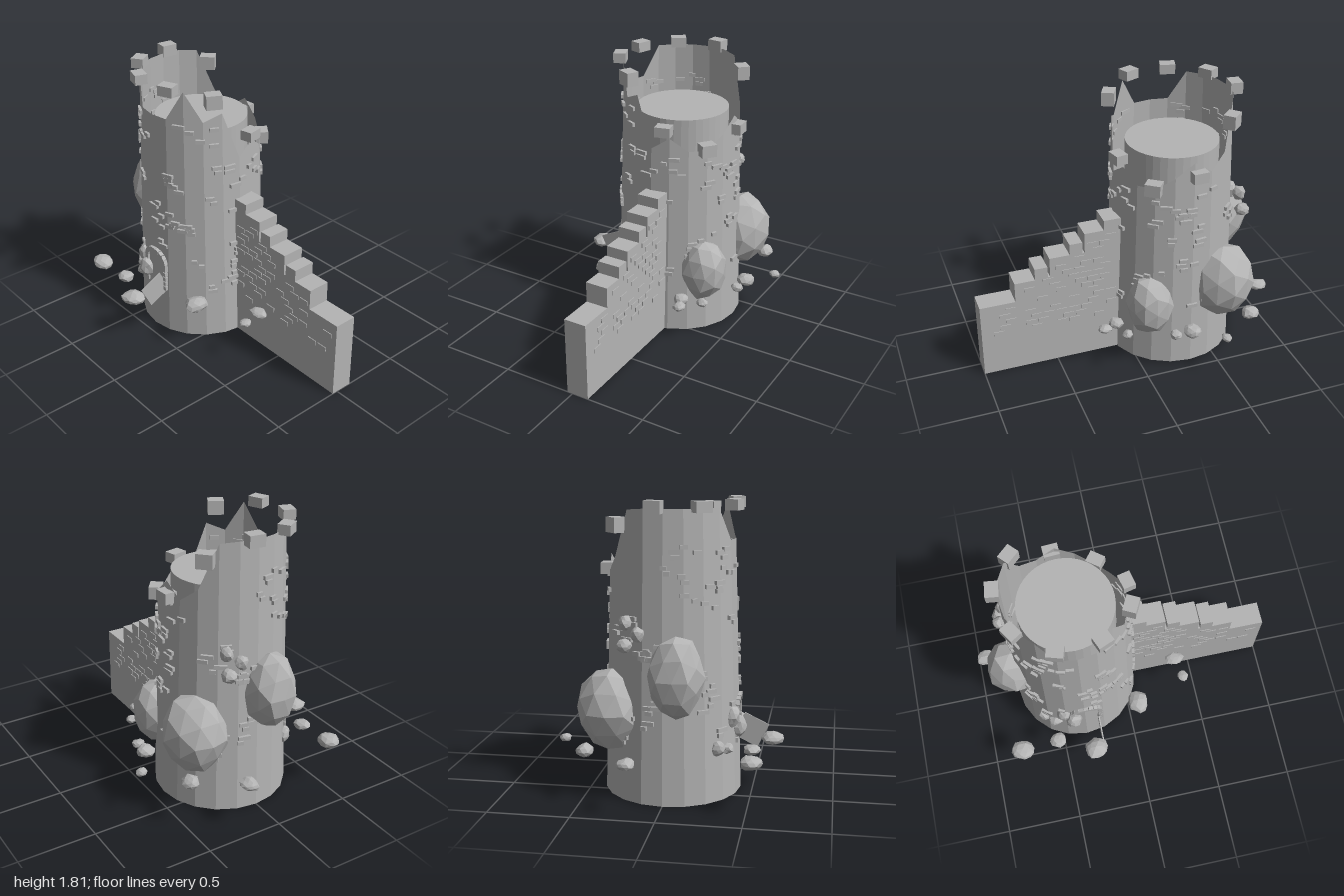
import * as THREE from 'three';

const CX = -0.33, SIDES = 20;
const stone = new THREE.MeshStandardMaterial({ color: 0xb4b4b4, flatShading: true, side: THREE.DoubleSide });
stone.name = 'grey stone';

// Rim height at each of the tower's corners, starting at +x and turning towards +z
const RIM = [1.285, 1.61, 1.56, 1.755, 1.56, 1.56, 1.56, 1.755, 1.755, 1.755,
  1.755, 1.755, 1.745, 1.46, 1.37, 1.455, 1.36, 1.28, 1.28, 1.365];
const radiusAt = y => 0.425 - 0.028 * y;
const rad = d => d * Math.PI / 180;

function seeded(seed) {
  return () => {
    seed = (seed * 1664525 + 1013904223) >>> 0;
    return seed / 4294967296;
  };
}

function add(parent, geometry, name, x = 0, y = 0, z = 0) {
  const mesh = new THREE.Mesh(geometry, stone);
  mesh.name = name;
  mesh.position.set(x, y, z);
  parent.add(mesh);
  return mesh;
}

// Box standing on the tower's round face, its depth pointing outwards
function addOnTower(parent, name, deg, y, r, w, h, d) {
  const a = rad(deg);
  const mesh = add(parent, new THREE.BoxGeometry(w, h, d), name, CX + r * Math.cos(a), y, r * Math.sin(a));
  mesh.rotation.y = Math.PI / 2 - a;
  return mesh;
}

// Faceted stone: a sphere of triangles with every corner pushed in or out
function rockGeometry(rx, ry, rz, seed, rough) {
  const g = new THREE.IcosahedronGeometry(1, 1);
  const p = g.attributes.position, random = seeded(seed), known = new Map();
  for (let i = 0; i < p.count; i++) {
    const key = [p.getX(i), p.getY(i), p.getZ(i)].map(v => Math.round(v * 100)).join();
    if (!known.has(key)) known.set(key, 1.02 - rough * random());
    const k = known.get(key);
    p.setXYZ(i, p.getX(i) * rx * k, p.getY(i) * ry * k, p.getZ(i) * rz * k);
  }
  g.computeVertexNormals();
  return g;
}

function createTower(root) {
  // Tapered shell with a broken rim, open at both ends
  const shell = new THREE.CylinderGeometry(1, 1, 1, SIDES, 1, true);
  const p = shell.attributes.position;
  for (let i = 0; i < p.count; i++) {
    const corner = i % (SIDES + 1);
    const a = corner / SIDES * Math.PI * 2;
    const y = p.getY(i) > 0 ? RIM[(SIDES - corner) % SIDES] : 0;
    p.setXYZ(i, radiusAt(y) * Math.cos(a), y, -radiusAt(y) * Math.sin(a));
  }
  shell.computeVertexNormals();
  add(root, shell, 'towerShell', CX, 0, 0);

  // Inner core carrying the upper floor
  add(root, new THREE.CylinderGeometry(0.3, 0.3, 0.96, 40), 'towerFloor', CX, 0.98, -0.01);

  // Loose battlement blocks: angle, height of the centre, block height
  const blocks = [[-13, 1.42, 0.065], [27, 1.71, 0.09], [67, 1.768, 0.065], [107, 1.768, 0.065],
    [147, 1.768, 0.065], [187, 1.768, 0.075], [227, 1.655, 0.09], [267, 1.37, 0.07], [307, 1.29, 0.08]];
  const battlements = new THREE.Group();
  battlements.name = 'battlements';
  for (const [deg, y, h] of blocks) addOnTower(battlements, 'battlementBlock', deg, y, 0.4, 0.1, h, 0.08);
  root.add(battlements);

  // Raised bricks in short clusters
  const bricks = new THREE.Group();
  bricks.name = 'towerBricks';
  const random = seeded(11);
  for (let c = 0; c < 95; c++) {
    const deg = c * 137.5 + random() * 15;
    const base = 0.32 + 1.2 * random();
    for (let k = 0; k < 2; k++) {
      const a = deg + (random() - 0.5) * 16, y = base + k * 0.032;
      const s = (((a % 360) + 360) % 360) / 18, i = Math.floor(s);
      const limit = Math.min(RIM[i % SIDES], RIM[(i + 1) % SIDES]) - 0.03;
      const nearDoor = Math.abs(((a % 360) + 360) % 360 - 90) < 18 && y < 0.63;
      if (y > limit || nearDoor) continue;
      addOnTower(bricks, 'towerBrick', a, y, radiusAt(y), 0.035 + 0.045 * random(), 0.025, 0.025);
    }
  }
  root.add(bricks);
}

function createDoor(root) {
  // Arch of small stones around the doorway
  const arch = new THREE.Group();
  arch.name = 'doorArch';
  const place = (dx, y, turn) => {
    const m = add(arch, new THREE.BoxGeometry(0.028, 0.03, 0.04), 'archStone', CX + 0.01 + dx, y, Math.sqrt(0.411 ** 2 - dx * dx) - 0.004);
    m.rotation.z = turn;
  };
  for (let i = 0; i <= 10; i++) {
    const a = Math.PI * i / 10;
    place(0.095 * Math.cos(a), 0.5 + 0.095 * Math.sin(a), a);
  }
  for (const side of [-1, 1]) for (let y = 0.33; y < 0.48; y += 0.036) place(side * 0.095, y, 0);
  root.add(arch);

  // Door swung open and hanging askew
  const door = add(root, new THREE.BoxGeometry(0.008, 0.165, 0.17), 'door', -0.24, 0.345, 0.48);
  door.rotation.x = rad(26);
}

function createWall(root) {
  // Broken, stepped wall: right end and top of each step
  const steps = [[0.165, 1], [0.295, 0.93], [0.31, 0.79], [0.395, 0.87], [0.53, 0.795],
    [0.545, 0.66], [0.63, 0.735], [0.765, 0.655], [1, 0.52]];
  const shape = new THREE.Shape();
  let x = 0.05;
  shape.moveTo(x, 0);
  for (const [end, top] of steps) {
    shape.lineTo(x, top);
    shape.lineTo(end, top);
    x = end;
  }
  shape.lineTo(1, 0);
  const wall = new THREE.ExtrudeGeometry(shape, { depth: 0.15, bevelEnabled: false });
  add(root, wall, 'ruinedWall', 0, 0, -0.112);

  // Shallow bricks on both faces
  const bricks = new THREE.Group();
  bricks.name = 'wallBricks';
  const random = seeded(5);
  for (const z of [-0.112, 0.038]) {
    for (let row = 0; row < 16; row++) {
      const y = 0.3 + row * 0.042;
      for (let bx = 0.12 + (row % 2) * 0.04; bx < 0.95; bx += 0.085) {
        const top = Math.min(...steps.filter(([end], i) => end > bx - 0.04 && (i === 0 || steps[i - 1][0] < bx + 0.04)).map(s => s[1]));
        if (y + 0.02 > top || random() < 0.45) continue;
        add(bricks, new THREE.BoxGeometry(0.07, 0.03, 0.01), 'wallBrick', bx, y, z);
      }
    }
  }
  root.add(bricks);
}

function createRocks(root) {
  // Each row: x, y, z, then the three radii
  const boulders = [[-0.735, 0.79, 0.08, 0.175, 0.255, 0.175], [-0.57, 0.54, -0.34, 0.215, 0.265, 0.215],
    [-0.075, 0.445, -0.32, 0.16, 0.22, 0.155]];
  const rubble = [
    [-0.93, 0.315, -0.18, 0.07, 0.036, 0.06], [-0.79, 0.315, 0.53, 0.088, 0.045, 0.072],
    [-0.54, 0.31, 0.51, 0.062, 0.035, 0.055], [-0.3, 0.315, 0.62, 0.087, 0.045, 0.08],
    [0.05, 0.325, 0.36, 0.075, 0.05, 0.09], [-0.475, 0.31, -0.66, 0.035, 0.027, 0.04],
    [-0.29, 0.32, -0.53, 0.062, 0.045, 0.065], [-0.18, 0.31, -0.52, 0.042, 0.03, 0.045],
    [0.11, 0.31, -0.41, 0.036, 0.03, 0.042], [0.23, 0.31, -0.31, 0.05, 0.03, 0.045],
    [0.14, 0.31, -0.27, 0.055, 0.04, 0.05], [0.37, 0.31, 0.1, 0.07, 0.022, 0.05],
    [0.4, 0.31, 0.24, 0.04, 0.02, 0.042], [-0.73, 0.32, -0.47, 0.062, 0.045, 0.06],
    [-0.41, 0.42, 0.42, 0.06, 0.075, 0.05], [-0.47, 0.49, 0.385, 0.05, 0.075, 0.05],
    [-0.6, 0.33, 0.31, 0.045, 0.055, 0.05], [-0.53, 0.31, 0.36, 0.05, 0.035, 0.05],
    [-0.76, 1.04, -0.14, 0.045, 0.05, 0.045], [-0.75, 0.97, -0.22, 0.055, 0.045, 0.05],
    [-0.72, 1.1, -0.22, 0.045, 0.05, 0.045]];
  boulders.forEach(([x, y, z, ...r], i) => add(root, rockGeometry(...r, 31 + i * 977, 0.1), 'boulder', x, y, z));
  const group = new THREE.Group();
  group.name = 'rubble';
  rubble.forEach(([x, y, z, ...r], i) => add(group, rockGeometry(...r, 7 + i * 613, 0.22), 'rubbleStone', x, y, z));
  root.add(group);
}

export function createModel() {
  const root = new THREE.Group();
  root.name = 'ruinedTower';
  createTower(root);
  createDoor(root);
  createWall(root);
  createRocks(root);
  return root;
}
